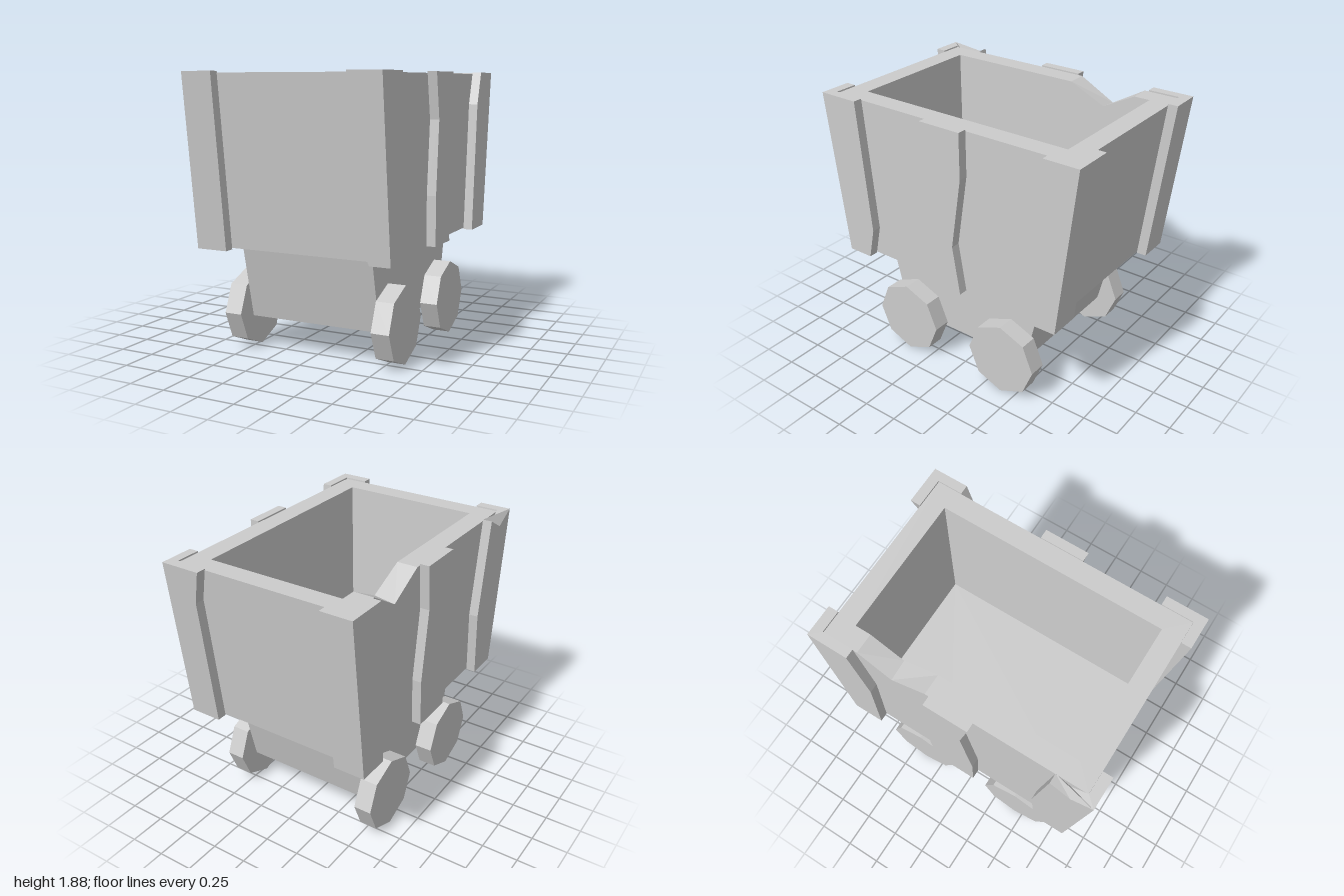
import * as THREE from 'three';

const material = new THREE.MeshStandardMaterial({ color: 0xcccccc, flatShading: true });

// Skins a stack of rings ([x, y, z] points, counter-clockwise from above) and caps both ends.
function loft(name, rings) {
  const pos = [];
  const tri = (a, b, c) => pos.push(...a, ...b, ...c);
  const n = rings[0].length;
  for (let i = 0; i < rings.length - 1; i++) {
    for (let j = 0; j < n; j++) {
      const k = (j + 1) % n;
      const [a, b, c, d] = [rings[i][j], rings[i][k], rings[i + 1][k], rings[i + 1][j]];
      tri(a, b, c);
      tri(a, c, d);
    }
  }
  const cap = (ring, up) => {
    const flat = ring.map(p => new THREE.Vector2(p[0], p[2]));
    for (const [i, j, k] of THREE.ShapeUtils.triangulateShape(flat, [])) {
      const [a, b, c] = [ring[i], ring[j], ring[k]];
      const ny = (b[2] - a[2]) * (c[0] - a[0]) - (b[0] - a[0]) * (c[2] - a[2]);
      if ((ny > 0) === up) tri(a, b, c); else tri(a, c, b);
    }
  };
  cap(rings[0], false);
  cap(rings[rings.length - 1], true);
  const geo = new THREE.BufferGeometry();
  geo.setAttribute('position', new THREE.Float32BufferAttribute(pos, 3));
  geo.computeVertexNormals();
  const mesh = new THREE.Mesh(geo, material);
  mesh.name = name;
  return mesh;
}

// Rectangle whose -x side carries three extra points for the chipped rim.
const tubRing = (x, z, y, chip = 0) => [
  [x, y, z], [x, y, -z], [-x, y, -z],
  [-x, y, -0.68], [-x, y - chip, -0.45], [-x, y, -0.19], [-x, y, z],
];

const BOTTOM = 0.73, TOP = 1.88, SIDE = 0.625, OUT = 0.69;
const endZ = y => 0.87 + (y - BOTTOM) * 0.113; // sloping end faces

// L-shaped corner plank; rows are [y, side edge z, end edge x], chip dents its top.
function cornerPlank(name, sx, sz, rows, chip = 0) {
  return loft(name, rows.map(([y, zi, xi]) => {
    const zo = endZ(y), zb = zo - 0.07, zm = (zi + zb) / 2;
    const ym = y === TOP ? y - chip : y;
    const ring = [
      [OUT, y, zo], [OUT, ym, zm + 0.03], [OUT, y, zi], [SIDE, y, zi],
      [SIDE, ym, zm], [SIDE, y, zb], [xi, y, zb], [xi, y, zo],
    ].map(([x, py, z]) => [x * sx, py, z * sz]);
    return sx * sz < 0 ? ring.reverse() : ring;
  }));
}

// Flat side plank; rows are [y, front z, back z].
function sidePlank(name, sx, rows) {
  return loft(name, rows.map(([y, zf, zb]) => {
    const ring = [[OUT, zf], [OUT, zb], [SIDE, zb], [SIDE, zf]].map(([x, z]) => [x * sx, y, z]);
    return sx < 0 ? ring.reverse() : ring;
  }));
}

export function createModel() {
  const group = new THREE.Group();

  // Open tub: outside wall, rim, inside wall and floor
  group.add(loft('tub', [
    tubRing(SIDE, 0.80, 0.74),
    tubRing(SIDE, 0.93, 1.87, 0.14),
    tubRing(0.485, 0.79, 1.87, 0.12),
    tubRing(0.45, 0.755, 0.88),
  ]));

  // Tapered chassis under the tub
  const chassisRing = (y, front, back) => [
    [0.475, y, front], [0.475, y, back], [-0.475, y, back], [-0.475, y, front],
  ];
  group.add(loft('chassis', [chassisRing(0.225, 0.55, -0.5), chassisRing(0.745, 0.67, -0.625)]));

  // Corner planks with worn edges
  group.add(
    cornerPlank('frontLeftPlank', 1, 1, [[BOTTOM, 0.685, 0.55], [0.95, 0.635, 0.465], [TOP, 0.71, 0.465]]),
    cornerPlank('backLeftPlank', 1, -1, [[BOTTOM, 0.615, 0.47], [1.65, 0.685, 0.47], [TOP, 0.755, 0.41]]),
    cornerPlank('frontRightPlank', -1, 1, [[BOTTOM, 0.64, 0.47], [1.2, 0.61, 0.47], [TOP, 0.71, 0.47]], 0.08),
    cornerPlank('backRightPlank', -1, -1, [[BOTTOM, 0.65, 0.47], [1.4, 0.62, 0.47], [TOP, 0.71, 0.47]]),
  );

  // Middle planks
  group.add(
    sidePlank('leftPlank', 1, [[BOTTOM, 0.135, -0.13], [1.07, 0.14, -0.075], [1.57, 0.1, -0.155], [TOP, 0.155, -0.155]]),
    sidePlank('rightPlank', -1, [[BOTTOM, 0.14, -0.17], [1.07, 0.15, -0.19], [1.57, 0.08, -0.13], [TOP, 0.15, -0.16]]),
  );

  // Octagonal wheels, one corner pointing up
  const wheelGeo = new THREE.CylinderGeometry(0.263, 0.263, 0.125, 8).rotateZ(Math.PI / 2);
  for (const x of [-0.543, 0.543]) {
    for (const z of [0.435, -0.39]) {
      const wheel = new THREE.Mesh(wheelGeo, material);
      wheel.name = (z > 0 ? 'front' : 'back') + (x > 0 ? 'Left' : 'Right') + 'Wheel';
      wheel.position.set(x, 0.264, z);
      group.add(wheel);
    }
  }
  return group;
}
